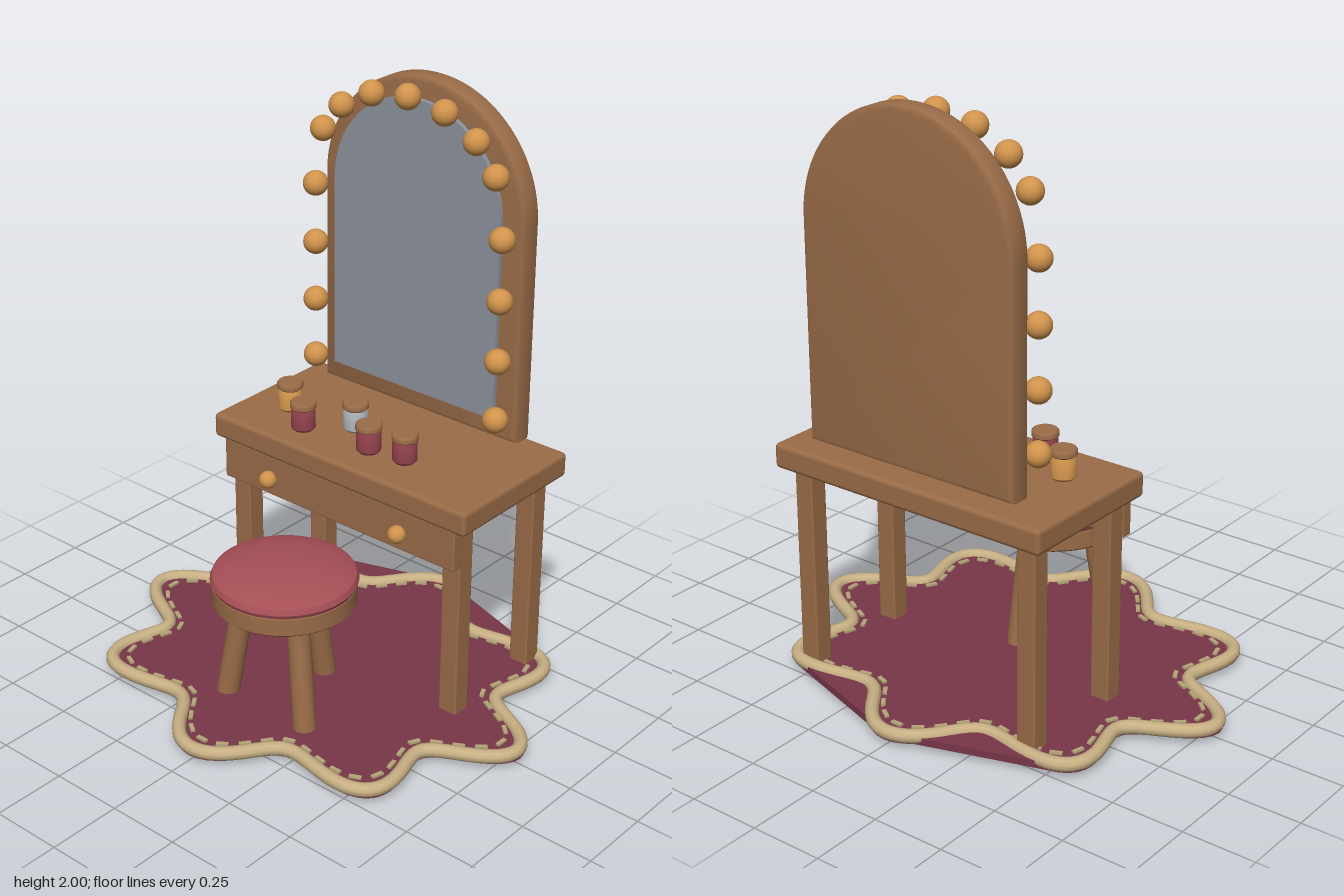
import * as THREE from 'three';
import { RoundedBoxGeometry } from 'three/addons/geometries/RoundedBoxGeometry.js';
import { toCreasedNormals } from 'three/addons/utils/BufferGeometryUtils.js';

const mat = (name, color) => {
  const m = new THREE.MeshStandardMaterial({ color });
  m.name = name;
  return m;
};

export function createModel() {
  const model = new THREE.Group();
  model.name = 'dressingTableSet';

  const wood = mat('wood', 0x9a6c48);
  const cushionRed = mat('cushionRed', 0xa64f56);
  const rugMaroon = mat('rugMaroon', 0x783649);
  const trimCream = mat('trimCream', 0xc8b084);
  const stitchTan = mat('stitchTan', 0xb5a578);
  const amber = mat('amber', 0xd0934c);
  const glassGrey = mat('glassGrey', 0x8c929e);
  const jarRed = mat('jarRed', 0x8e404a);
  const jarSilver = mat('jarSilver', 0xa9b0b6);

  const add = (name, geometry, material, x = 0, y = 0, z = 0, parent = model) => {
    const mesh = new THREE.Mesh(geometry, material);
    mesh.name = name;
    mesh.position.set(x, y, z);
    parent.add(mesh);
    return mesh;
  };
  const group = (name) => {
    const g = new THREE.Group();
    g.name = name;
    model.add(g);
    return g;
  };
  // Rounded box given by its limits on each axis
  const block = (name, [x0, x1], [y0, y1], [z0, z1], radius, parent) =>
    add(name, new RoundedBoxGeometry(x1 - x0, y1 - y0, z1 - z0, 2, radius), wood,
      (x0 + x1) / 2, (y0 + y1) / 2, (z0 + z1) / 2, parent);

  // Rug: eight soft lobes round an oval
  const rug = group('rug');
  const rugPoint = (t, scale = 1) => {
    const r = scale * (0.885 + 0.115 * Math.cos(8 * t));
    return new THREE.Vector3(0.66 * r * Math.cos(t), 0, 0.79 * r * Math.sin(t));
  };
  const outline = [];
  for (let i = 0; i < 160; i++) {
    const t = (i / 160) * Math.PI * 2;
    const fromSide = THREE.MathUtils.radToDeg(Math.min(t, Math.PI * 2 - t));
    if (fromSide > 8 && fromSide < 41) continue; // cloth runs straight across these two hollows
    const p = rugPoint(t, 1.02);
    outline.push(new THREE.Vector2(p.x, -p.z));
  }
  const cloth = new THREE.ExtrudeGeometry(new THREE.Shape(outline), { depth: 0.025, bevelEnabled: false });
  add('rugCloth', cloth.rotateX(-Math.PI / 2), rugMaroon, 0, 0.02, 0, rug);

  const edge = new THREE.CatmullRomCurve3(
    Array.from({ length: 96 }, (_, i) => rugPoint((i / 96) * Math.PI * 2)), true);
  add('rugTrim', new THREE.TubeGeometry(edge, 240, 0.023, 10, true), trimCream, 0, 0.042, 0, rug);

  // Stitches follow the trim, evenly spaced
  const seam = new THREE.CatmullRomCurve3(
    Array.from({ length: 96 }, (_, i) => rugPoint((i / 96) * Math.PI * 2, 0.925)), true);
  const stitchGeo = new THREE.BoxGeometry(0.014, 0.009, 0.04);
  for (let i = 0; i < 64; i++) {
    const p = seam.getPointAt(i / 64);
    const d = seam.getTangentAt(i / 64);
    add('stitch', stitchGeo, stitchTan, p.x, 0.048, p.z, rug).rotation.y = Math.atan2(d.x, d.z);
  }

  // Stool with three splayed legs
  const stool = group('stool');
  stool.position.set(-0.245, 0, 0.03);
  const lathe = (points, segments = 40) => toCreasedNormals(
    new THREE.LatheGeometry(points.map(([x, y]) => new THREE.Vector2(x, y)), segments), 0.7);
  add('stoolSeat', lathe([[0, 0.415], [0.228, 0.415], [0.235, 0.422], [0.235, 0.48], [0.228, 0.487], [0, 0.487]]),
    wood, 0, 0, 0, stool);
  add('stoolCushion', lathe([[0, 0.475], [0.215, 0.475], [0.234, 0.483], [0.24, 0.497], [0.232, 0.515],
    [0.2, 0.53], [0.14, 0.542], [0.07, 0.548], [0, 0.55]]), cushionRed, 0, 0, 0, stool);
  for (let i = 0; i < 3; i++) {
    const a = (i * Math.PI * 2) / 3;
    const top = new THREE.Vector3(0.13 * Math.cos(a), 0.43, 0.13 * Math.sin(a));
    const foot = new THREE.Vector3(0.2 * Math.cos(a), 0.006, 0.2 * Math.sin(a));
    const dir = top.clone().sub(foot);
    const leg = add('stoolLeg', new THREE.CylinderGeometry(0.037, 0.039, dir.length(), 16), wood, 0, 0, 0, stool);
    leg.position.copy(top).add(foot).multiplyScalar(0.5);
    leg.quaternion.setFromUnitVectors(new THREE.Vector3(0, 1, 0), dir.normalize());
  }

  // Table with a drawer front on the stool side
  const table = group('table');
  block('tableTop', [-0.02, 0.525], [0.74, 0.826], [-0.488, 0.57], 0.016, table);
  for (const x of [0.025, 0.412])
    for (const z of [-0.441, 0.455])
      block('tableLeg', [x, x + 0.068], [0.012, 0.75], [z, z + 0.07], 0.007, table);
  block('drawerFront', [-0.012, 0.03], [0.6, 0.745], [-0.445, 0.528], 0.006, table);
  for (const z of [-0.24, 0.31])
    add('drawerKnob', new THREE.SphereGeometry(0.03, 20, 14), amber, -0.025, 0.662, z, table);

  // Arched mirror: panel with a round top, extruded along x
  const mirror = group('mirror');
  const arch = (half, bottom, top, x0, x1, bevel) => {
    const s = new THREE.Shape();
    s.moveTo(-half, bottom);
    s.lineTo(half, bottom);
    s.lineTo(half, top - half);
    s.absarc(0, top - half, half, 0, Math.PI, false);
    s.closePath();
    const g = new THREE.ExtrudeGeometry(s, {
      depth: x1 - x0 - 2 * bevel, curveSegments: 32, bevelEnabled: bevel > 0,
      bevelSize: bevel, bevelThickness: bevel, bevelOffset: -bevel, bevelSegments: 2,
    });
    g.translate(0, 0, x0 + bevel).rotateY(Math.PI / 2);
    return toCreasedNormals(g, 0.5);
  };
  add('mirrorBoard', arch(0.403, 0.857, 2, 0.405, 0.485, 0.014), wood, 0, 0, 0.042, mirror);
  add('mirrorGlass', arch(0.335, 0.935, 1.935, 0.377, 0.393, 0), glassGrey, 0, 0, 0.038, mirror);

  // Bulbs: [offset from the middle, height], mirrored
  const bulbGeo = new THREE.SphereGeometry(0.042, 24, 16);
  const bulbs = [[0.378, 0.965], [0.378, 1.17], [0.378, 1.375], [0.378, 1.58],
    [0.346, 1.775], [0.268, 1.87], [0.145, 1.935], [0, 1.955]];
  for (const [offset, y] of bulbs)
    for (const side of offset ? [-1, 1] : [1])
      add('bulb', bulbGeo, amber, 0.332, y, 0.038 + side * offset, mirror);

  // Lidded jars
  const jars = group('jars');
  const bodyGeo = lathe([[0, 0.826], [0.034, 0.826], [0.041, 0.834], [0.041, 0.895], [0.034, 0.905], [0, 0.905]], 24);
  const lidGeo = lathe([[0, 0.903], [0.04, 0.903], [0.044, 0.907], [0.044, 0.922], [0.04, 0.927], [0, 0.927]], 24);
  for (const [x, z, colour] of [[0.175, -0.318, amber], [0.093, -0.187, jarRed], [0.203, -0.055, jarSilver],
    [0.112, 0.078, jarRed], [0.134, 0.21, jarRed]]) {
    add('jarBody', bodyGeo, colour, x, 0, z, jars);
    add('jarLid', lidGeo, wood, x, 0, z, jars);
  }

  return model;
}
